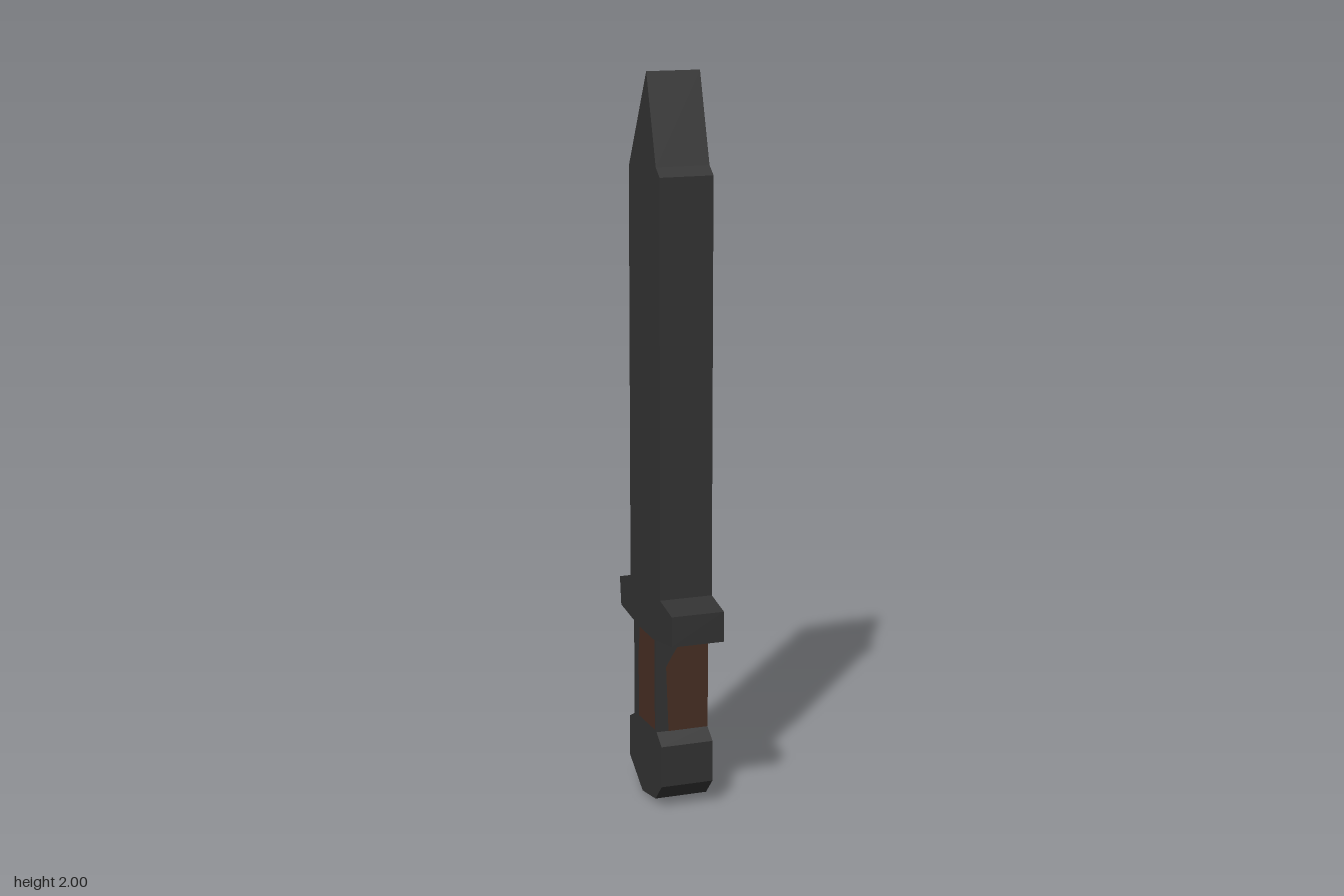
import * as THREE from 'three';

const WIDTH = 0.148;
const HALF = WIDTH / 2;
const GRIP = 0.094; // half depth of the handle
const LIFT = 0.002; // how far the grip patches sit off the handle

function toShape(points) {
  return new THREE.Shape(points.map(([a, b]) => new THREE.Vector2(a, b)));
}

export function createModel() {
  const steel = new THREE.MeshStandardMaterial({ color: 0x333333 });
  steel.name = 'darkSteel';
  const leather = new THREE.MeshStandardMaterial({ color: 0x472e23 });
  leather.name = 'brownLeather';

  const group = new THREE.Group();
  group.name = 'dagger';

  function add(name, geometry, material) {
    const mesh = new THREE.Mesh(geometry, material);
    mesh.name = name;
    group.add(mesh);
    return mesh;
  }

  // Slab cut from a (z, y) outline and extruded across x
  function slab(name, points) {
    const geometry = new THREE.ExtrudeGeometry(toShape(points), { depth: WIDTH, bevelEnabled: false });
    geometry.translate(0, 0, -HALF);
    geometry.rotateY(-Math.PI / 2);
    add(name, geometry, steel);
  }

  slab('blade', [
    [-0.124, 0.6], [0.124, 0.6], [0.124, 1.737], [0.094, 1.76], [0.02, 2], [-0.124, 1.738],
  ]);
  slab('guard', [
    [0.094, 0.478], [0.218, 0.498], [0.218, 0.582], [0.124, 0.6],
    [-0.124, 0.6], [-0.218, 0.57], [-0.207, 0.49], [-GRIP, 0.478],
  ]);
  slab('handle', [[-GRIP, 0.205], [GRIP, 0.215], [GRIP, 0.478], [-GRIP, 0.478]]);
  slab('pommel', [
    [-0.025, 0], [0.085, 0.018], [0.135, 0.07], [0.135, 0.186],
    [GRIP, 0.215], [-GRIP, 0.205], [-0.135, 0.184], [-0.135, 0.068],
  ]);

  // Flat leather patch, outlined as seen when facing that side of the handle
  function patch(name, points, angle, distance) {
    const geometry = new THREE.ShapeGeometry(toShape(points));
    geometry.translate(0, 0, distance + LIFT);
    geometry.rotateY(angle);
    add(name, geometry, leather);
  }

  patch('frontGripPatch', [
    [HALF, 0.215], [HALF, 0.476], [0, 0.476], [-0.03, 0.43], [-0.047, 0.4], [-0.04, 0.215],
  ], 0, GRIP);
  patch('rightGripPatch', [
    [GRIP, 0.205], [GRIP, 0.478], [0.08, 0.485], [-0.06, 0.485], [-0.07, 0.43], [-0.043, 0.39],
    [-0.082, 0.335], [-0.055, 0.3], [0.01, 0.205],
  ], Math.PI / 2, HALF);
  patch('backGripPatch', [
    [-HALF, 0.205], [0.03, 0.205], [0.052, 0.26], [0.036, 0.34], [0.05, 0.42], [0.04, 0.476], [-HALF, 0.476],
  ], Math.PI, GRIP);
  patch('leftGripPatch', [
    [-0.05, 0.215], [0.085, 0.22], [0.085, 0.476], [-0.04, 0.476], [-0.05, 0.4],
  ], -Math.PI / 2, HALF);

  return group;
}
